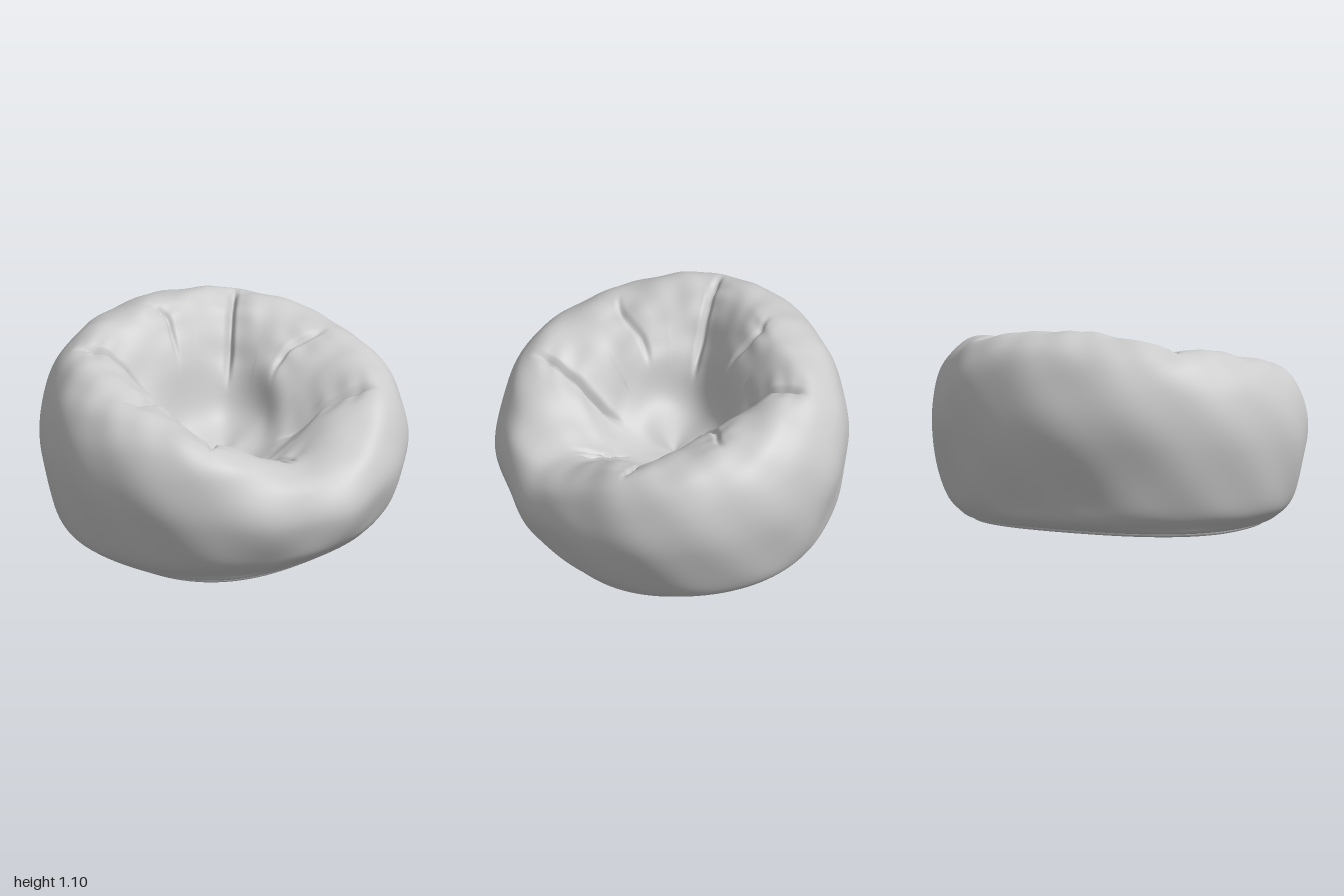
import * as THREE from 'three';
import { mergeVertices } from 'three/addons/utils/BufferGeometryUtils.js';

const WIDTH = 0.905; // x radius; z radius is 1
const SEG = 360, ROWS = 110;

// Half-outlines [radius, height] from the base edge over the rim to the seat,
// for the front, front corner, side, back corner and back.
const OUTLINES = [
  [[.82, .06], [.92, .15], [.995, .33], [.955, .46], [.85, .53], [.64, .55], [.45, .515], [.30, .45], [.16, .405]],
  [[.86, .07], [.94, .18], [1.02, .42], [.995, .61], [.91, .755], [.76, .80], [.56, .715], [.38, .55], [.20, .425]],
  [[.86, .08], [.94, .19], [.997, .49], [.97, .71], [.875, .865], [.73, .93], [.54, .89], [.37, .76], [.27, .52]],
  [[.86, .09], [.93, .21], [1.005, .55], [.975, .80], [.875, .97], [.73, 1.04], [.56, .975], [.40, .76], [.27, .50]],
  [[.86, .10], [.92, .22], [.997, .58], [.967, .82], [.85, 1.02], [.63, 1.10], [.49, 1.05], [.355, .86], [.25, .53]],
];

const smooth = THREE.MathUtils.smoothstep;
const band = (v, a, b, c, d) => smooth(v, a, b) * (1 - smooth(v, c, d));
const baseHeight = (x, z) => 0.037 - 0.028 * x - 0.012 * z;
const hemRadius = (angle) => 0.76 - 0.03 * Math.cos(4 * angle);

// One closed ring curve per outline point, passing through all eight directions
const rings = OUTLINES[0].map((_, k) => new THREE.CatmullRomCurve3(
  [0, 1, 2, 3, 4, 3, 2, 1].map((d) => new THREE.Vector3(...OUTLINES[d][k], 0)), true, 'catmullrom', 0.5));

// Full cross-section in one direction, from base centre to seat centre
function section(angle) {
  const ringT = angle / (2 * Math.PI);
  const base = [0, 0.42, hemRadius(angle) - 0.01].map((r) =>
    new THREE.Vector3(r, baseHeight(r * WIDTH * Math.cos(angle), r * Math.sin(angle)), 0));
  return new THREE.CatmullRomCurve3(
    [...base, ...rings.map((ring) => ring.getPoint(ringT)), new THREE.Vector3(0, 0.39, 0)],
    false, 'catmullrom', 0.5);
}

// Seams, puffed panels and cloth folds, as a push along the surface normal
function clothOffset(angle, k, r, y) {
  const step = Math.PI / 4;
  const nearest = Math.round(angle / step);
  const diagonal = nearest % 2 !== 0;
  const bend = diagonal ? 0 : 0.05 * Math.sin(k * 2.5 + nearest);
  const dist = Math.abs(angle - nearest * step - bend) * r;
  const seam = diagonal ? band(k, 7.3, 8.2, 9.7, 10.5) : band(k, 7.9, 8.7, 9.5, 10.3);
  const groove = -(diagonal ? 0.045 : 0.02) * Math.exp(-((dist / 0.016) ** 2))
    - (diagonal ? 0.03 : 0.012) * Math.exp(-((dist / 0.09) ** 2));
  const pucker = 0.004 * Math.sin(k * 9 + nearest * 2) * Math.exp(-((dist / 0.12) ** 2));
  const wall = band(k, 3.2, 4.2, 6.2, 8);
  const folds = 0.009 * Math.sin(7 * angle + 9 * y + 1.5 * Math.sin(3 * angle))
    * (0.5 + 0.5 * Math.sin(2 * angle + 1))
    + 0.003 * Math.sin(13 * angle - 12 * y);
  const crown = band(k, 6, 7.5, 8.6, 9.8);
  const lumps = 0.005 * Math.sin(11 * angle + 3 * k) + 0.002 * Math.sin(23 * angle - 2 * k);
  return seam * (groove + pucker) + wall * folds + crown * lumps;
}

function bagGeometry() {
  const positions = [], index = [];
  const last = OUTLINES[0].length + 3;
  for (let i = 0; i < SEG; i++) {
    const angle = (i / SEG) * Math.PI * 2;
    const curve = section(angle);
    for (let j = 0; j <= ROWS; j++) {
      const t = j / ROWS;
      const p = curve.getPoint(t), tan = curve.getTangent(t);
      const push = clothOffset(angle, t * last, p.x, p.y);
      const r = j === 0 || j === ROWS ? 0 : Math.max(0, p.x + tan.y * push);
      const y = p.y - tan.x * push;
      positions.push(WIDTH * r * Math.cos(angle), y, r * Math.sin(angle));
      if (j < ROWS) {
        const a = i * (ROWS + 1) + j, b = ((i + 1) % SEG) * (ROWS + 1) + j;
        index.push(a, a + 1, b, b, a + 1, b + 1);
      }
    }
  }
  let geo = new THREE.BufferGeometry();
  geo.setAttribute('position', new THREE.Float32BufferAttribute(positions, 3));
  geo.setIndex(index);
  geo = mergeVertices(geo, 1e-5);
  geo.computeVertexNormals();
  return geo;
}

export function createModel() {
  const group = new THREE.Group();
  group.name = 'beanBag';
  const material = new THREE.MeshStandardMaterial({ color: 0xcccccc });
  const add = (name, geometry) => {
    const mesh = new THREE.Mesh(geometry, material);
    mesh.name = name;
    group.add(mesh);
  };

  add('bag', bagGeometry());

  // Rolled hem around the base panel
  const hem = [];
  for (let i = 0; i < 48; i++) {
    const a = (i / 48) * Math.PI * 2;
    const r = hemRadius(a);
    const x = WIDTH * r * Math.cos(a), z = r * Math.sin(a);
    hem.push(new THREE.Vector3(x, baseHeight(x, z) + 0.006, z));
  }
  add('baseHem', new THREE.TubeGeometry(new THREE.CatmullRomCurve3(hem, true), 160, 0.019, 10, true));

  // Closing seam across the underside
  const closure = [];
  for (let i = 0; i <= 8; i++) {
    const t = -0.42 + i * 0.105;
    const wobble = 0.007 * Math.sin(i * 1.9);
    const end = i === 0 || i === 8 ? 0.012 : 0;
    const x = t + wobble, z = wobble - t;
    closure.push(new THREE.Vector3(x, baseHeight(x, z) + 0.004 + end, z));
  }
  add('baseSeam', new THREE.TubeGeometry(new THREE.CatmullRomCurve3(closure), 48, 0.016, 8));

  return group;
}
